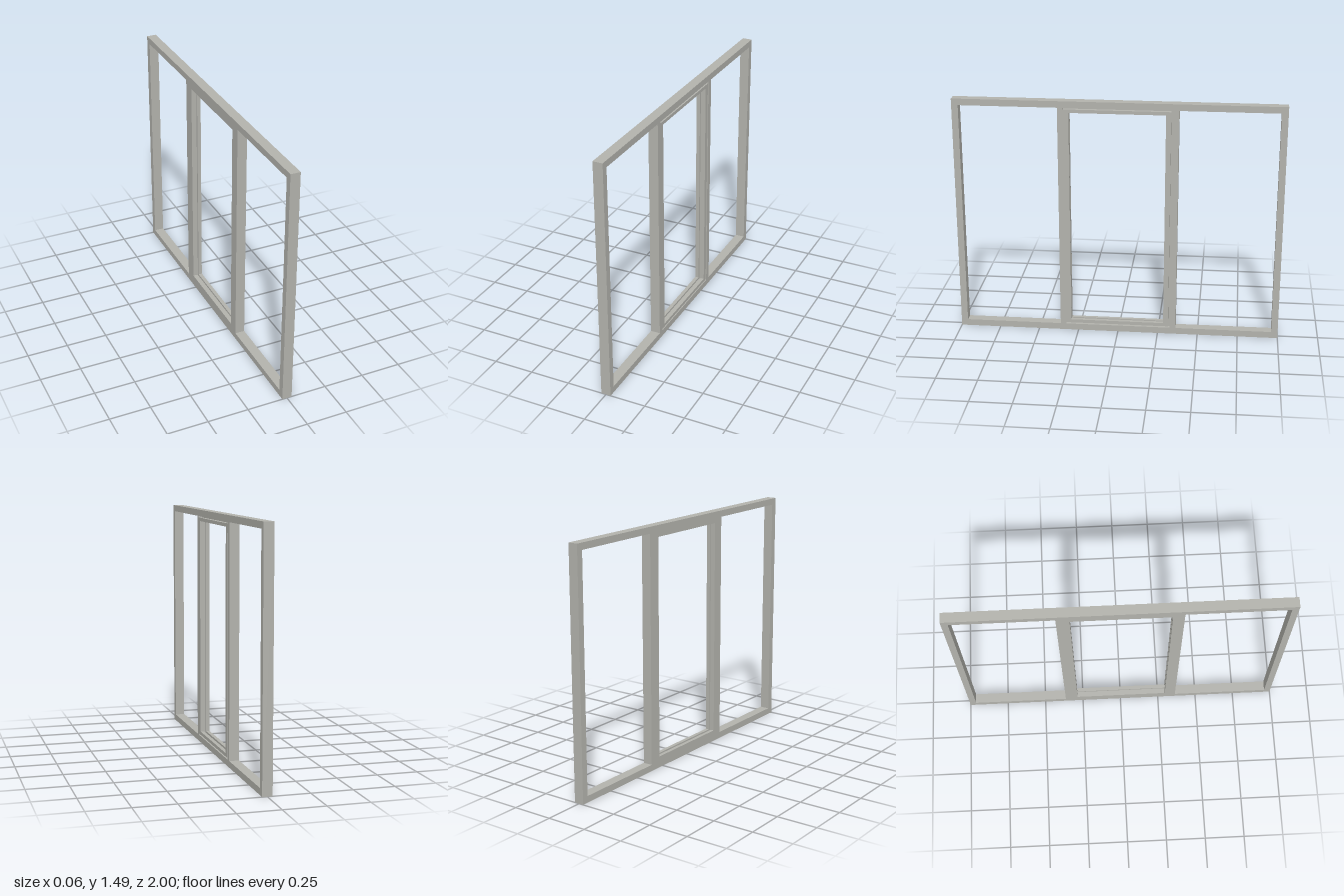
import * as THREE from 'three';

const H = 1.49;          // overall height
const HALF_DEPTH = 0.03; // half the frame thickness

// Rectangle given by its z range and y range, drawn in (-z, y)
function rect(Path, zMin, zMax, y0, y1) {
  const p = new Path();
  p.moveTo(-zMax, y0);
  p.lineTo(-zMin, y0);
  p.lineTo(-zMin, y1);
  p.lineTo(-zMax, y1);
  p.closePath();
  return p;
}

// Flat panel with rectangular openings, extruded along x from x0 to x1
function panel(name, material, outer, openings, x0, x1) {
  const shape = rect(THREE.Shape, ...outer);
  for (const o of openings) shape.holes.push(rect(THREE.Path, ...o));
  const geo = new THREE.ExtrudeGeometry(shape, { depth: x1 - x0, bevelEnabled: false });
  geo.translate(0, 0, x0);
  geo.rotateY(Math.PI / 2);
  const mesh = new THREE.Mesh(geo, material);
  mesh.name = name;
  return mesh;
}

export function createModel() {
  const model = new THREE.Group();
  model.name = 'threePartWindow';
  const grey = new THREE.MeshStandardMaterial({ color: 0xb2b2ac });
  grey.name = 'warmGrey';

  // Outer frame with two mullions: fixed lights either side of the sash bay
  const bay = [-0.325, 0.328, 0.04, H - 0.04];
  model.add(panel('outerFrame', grey, [-1, 1, 0, H], [
    [-0.96, -0.363, 0.04, H - 0.04],
    bay,
    [0.363, 0.96, 0.04, H - 0.04],
  ], -HALF_DEPTH, HALF_DEPTH));

  // Opening sash: closed stop at the back, glazing groove, front with a clearance gap
  const sash = new THREE.Group();
  sash.name = 'openingSash';
  const opening = [-0.285, 0.295, 0.07, H - 0.07];
  const groove = [-0.297, 0.307, 0.058, H - 0.058];
  const leaf = [-0.316, 0.328, 0.049, H - 0.049];
  sash.add(
    panel('sashBack', grey, bay, [opening], -HALF_DEPTH, -0.007),
    panel('glazingGroove', grey, bay, [groove], -0.007, 0.007),
    panel('sashFront', grey, leaf, [opening], 0.007, HALF_DEPTH),
  );
  model.add(sash);
  return model;
}
